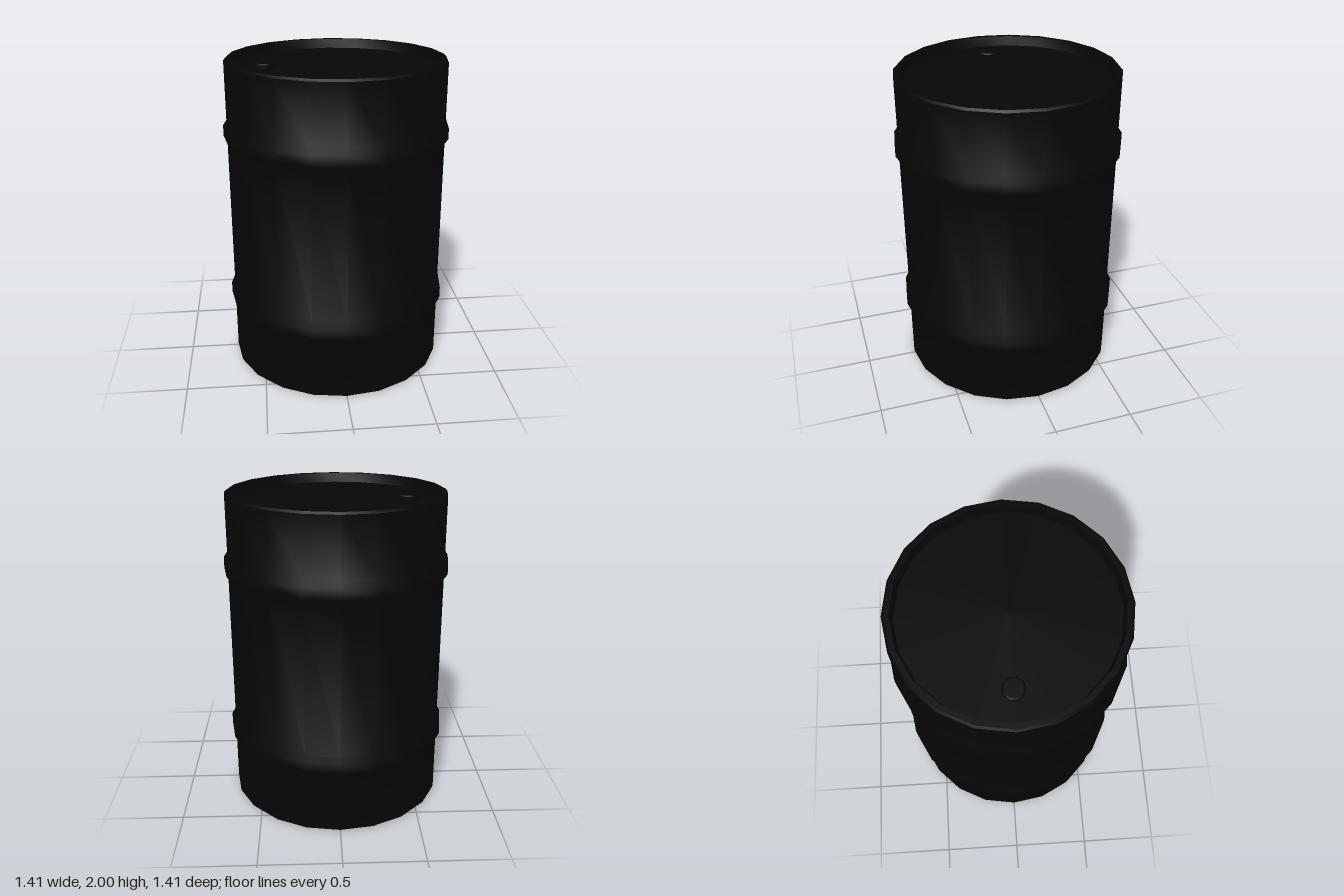
import * as THREE from 'three';
import { toCreasedNormals } from 'three/addons/utils/BufferGeometryUtils.js';

const SIDES = 20;
const R = 0.685; // wall radius
const RIB = 0.707; // rib radius
const RIM = 0.642; // inner radius of the end rims
const LID = 0.627; // radius of the recessed ends
const DEPTH = 0.058; // recess of both ends

function turned(profile, sides, material, name) {
  const points = profile.map(([r, y]) => new THREE.Vector2(r, y));
  const geometry = toCreasedNormals(new THREE.LatheGeometry(points, sides), 0.7);
  const mesh = new THREE.Mesh(geometry, material);
  mesh.name = name;
  return mesh;
}

// Rolled hoop: slope out, flat band, slope in
const rib = (y) => [[R, y - 0.066], [RIB, y - 0.034], [RIB, y + 0.034], [R, y + 0.066]];

export function createModel() {
  const group = new THREE.Group();
  group.name = 'barrel';
  const black = new THREE.MeshStandardMaterial({ color: 0x060606 });

  // Drum shell from the recessed base up to the recessed lid
  group.add(turned([
    [0, DEPTH], [LID, DEPTH], [RIM, 0], [R - 0.012, 0], [R, 0.013],
    ...rib(0.455),
    ...rib(1.55),
    [R, 1.987], [R - 0.012, 2], [RIM, 2], [LID, 2 - DEPTH], [0, 2 - DEPTH],
  ], SIDES, black, 'drum'));

  // Bung cap on the lid
  const cap = turned([[0.066, 0], [0.066, 0.02], [0.058, 0.028], [0, 0.028]], 10, black, 'bungCap');
  cap.position.set(-0.44, 2 - DEPTH, 0);
  group.add(cap);

  return group;
}
